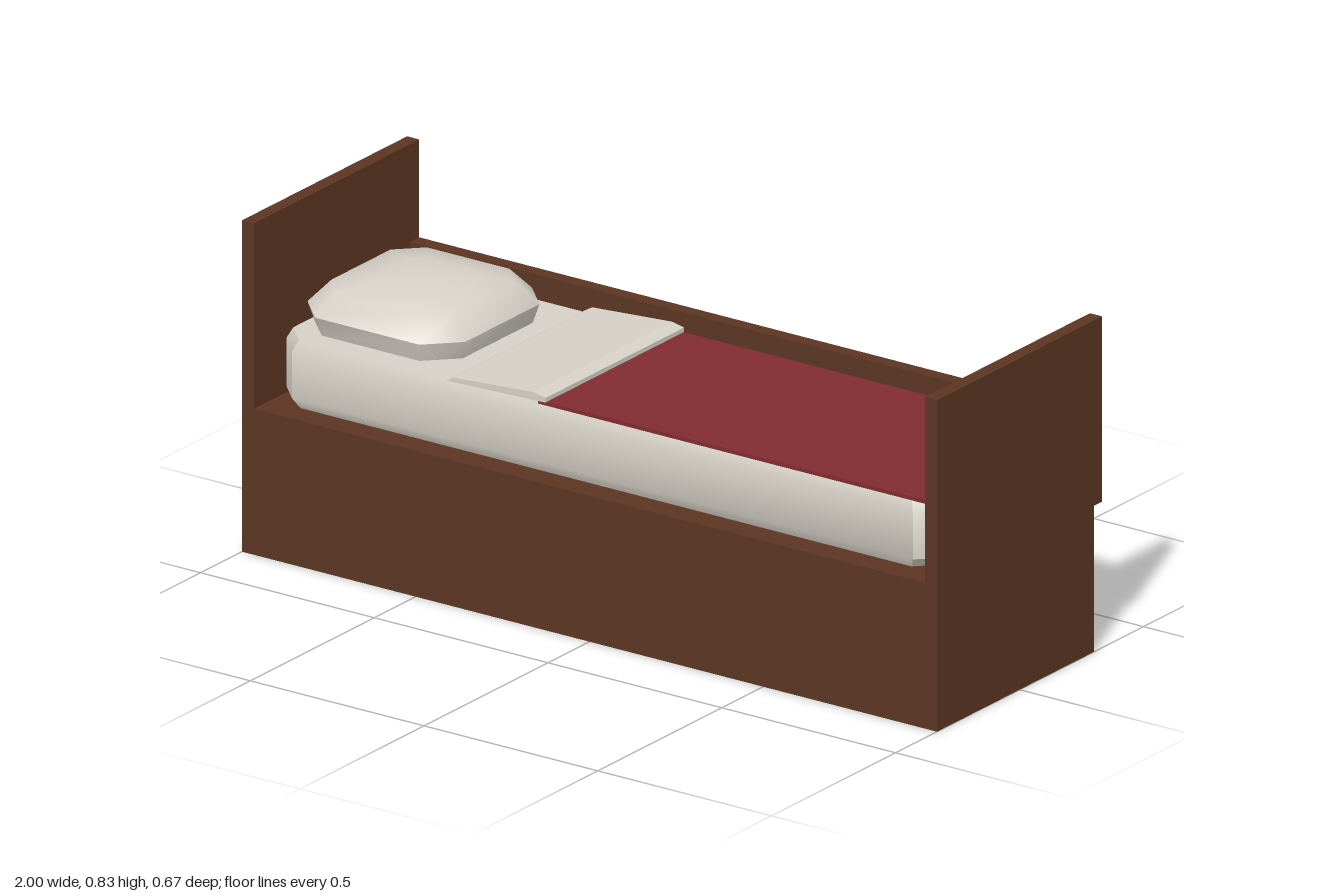
import * as THREE from 'three';
import { toCreasedNormals } from 'three/addons/utils/BufferGeometryUtils.js';

const material = (name, color, side = THREE.FrontSide) =>
  Object.assign(new THREE.MeshStandardMaterial({ color, side }), { name });

// Rectangle with cut corners, as a ring of eight points at height y
function octagon(hx, hz, cut, y) {
  const a = hx - cut, b = hz - cut;
  return [[hx, b], [hx, -b], [a, -hz], [-a, -hz], [-hx, -b], [-hx, b], [-a, hz], [a, hz]]
    .map(([x, z]) => [x, y, z]);
}

// Skin a stack of rings from bottom to top, closed at both ends
function loft(rings, peak, crease) {
  const n = rings[0].length, last = (rings.length - 1) * n;
  const points = rings.flat();
  const low = points.push([0, rings[0][0][1], 0]) - 1;
  const high = points.push([0, peak, 0]) - 1;
  const index = [];
  for (let i = 0; i < n; i++) {
    const j = (i + 1) % n;
    for (let r = 0; r < last; r += n) {
      index.push(r + i, r + j, r + n + j, r + i, r + n + j, r + n + i);
    }
    index.push(j, i, low, last + i, last + j, high);
  }
  const geometry = new THREE.BufferGeometry();
  geometry.setAttribute('position', new THREE.Float32BufferAttribute(points.flat(), 3));
  geometry.setIndex(index);
  geometry.computeVertexNormals();
  return toCreasedNormals(geometry, crease);
}

export function createModel() {
  const bed = new THREE.Group();
  bed.name = 'bed';
  const wood = material('dark wood', 0x5c3522, THREE.DoubleSide);
  const linen = material('cream linen', 0xd6d1c7);
  const red = material('red wool', 0x812c30);

  const add = (name, geometry, mat) => {
    const mesh = new THREE.Mesh(geometry, mat);
    mesh.name = name;
    bed.add(mesh);
    return mesh;
  };
  // Box given by its lower and upper corners
  const box = (name, [x0, y0, z0], [x1, y1, z1], mat) => {
    const mesh = add(name, new THREE.BoxGeometry(x1 - x0, y1 - y0, z1 - z0), mat);
    mesh.position.set((x0 + x1) / 2, (y0 + y1) / 2, (z0 + z1) / 2);
    return mesh;
  };

  // Base: a hollow case, open underneath
  const base = box('base', [-1, 0, -0.3], [1, 0.367, 0.333], wood);
  const faces = Array.from(base.geometry.index.array);
  faces.splice(18, 6); // drop the bottom face
  base.geometry.setIndex(faces);
  base.geometry.clearGroups();

  // Headboard, footboard, back rail and drawer front
  box('headboard', [-1, 0.367, -0.333], [-0.965, 0.833, 0.333], wood);
  box('footboard', [0.965, 0.367, -0.333], [1, 0.833, 0.333], wood);
  box('backRail', [-0.965, 0.367, -0.333], [0.965, 0.587, -0.298], wood);
  box('drawerFront', [-0.9, 0.047, -0.333], [0.9, 0.333, -0.3], wood);

  // Mattress with softened edges and cut corners
  const mattressRings = [[0.367, 0.014], [0.392, 0], [0.512, 0], [0.538, 0.012]]
    .map(([y, inset]) => octagon(0.953 - inset, 0.28 - inset, 0.06, y));
  add('mattress', loft(mattressRings, 0.538, 0.6), linen);

  // Pillow: undercut skirt, sloping shoulder and low dome
  const pillowRings = [[0.536, 0.213], [0.585, 0.227], [0.64, 0.18], [0.657, 0.09]]
    .map(([y, r]) => octagon(r, r, r * 0.34, y));
  add('pillow', loft(pillowRings, 0.667, 0.9), linen).position.x = -0.715;

  // Blanket lying flat on the mattress
  box('blanket', [-0.19, 0.537, -0.278], [0.937, 0.547, 0.274], red);

  // Turned-down sheet, rising over the blanket's edge
  const fold = new THREE.Shape([
    [-0.45, 0.537], [-0.165, 0.546], [-0.165, 0.558], [-0.2, 0.565], [-0.43, 0.549],
  ].map(([x, y]) => new THREE.Vector2(x, y)));
  const sheet = new THREE.ExtrudeGeometry(fold, { depth: 0.558, bevelEnabled: false });
  add('sheetFold', sheet, linen).position.z = -0.28;

  return bed;
}
